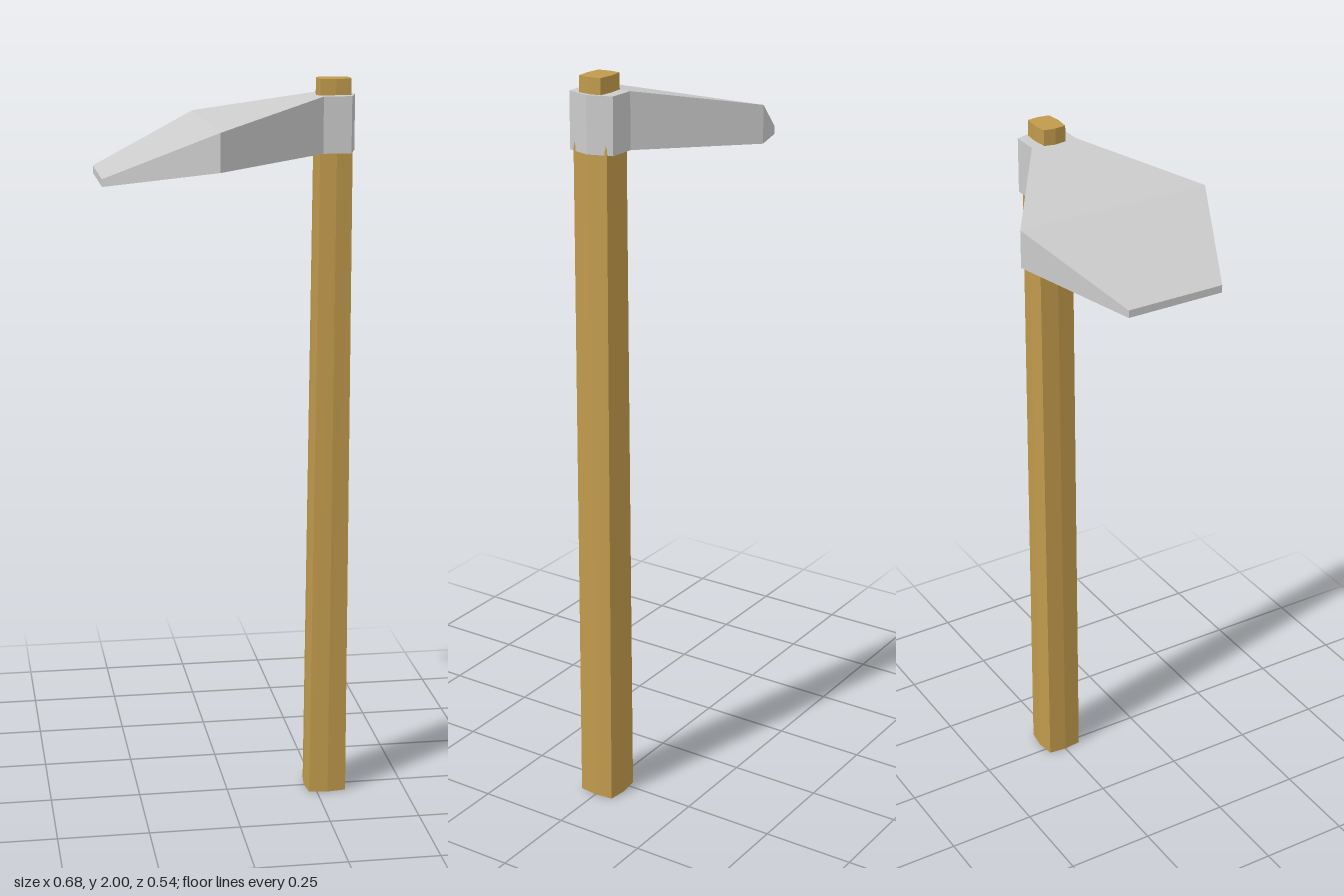
import * as THREE from 'three';

// Skins a closed solid through rings; each ring runs counterclockwise about the loft direction.
function loft(rings) {
  const pos = [];
  const tri = (a, b, c) => {
    const t = new THREE.Triangle(...[a, b, c].map(p => new THREE.Vector3(...p)));
    if (t.getArea() > 1e-7) pos.push(...a, ...b, ...c);
  };
  const n = rings[0].length;
  for (let r = 0; r < rings.length - 1; r++) {
    const a = rings[r], b = rings[r + 1];
    for (let i = 0; i < n; i++) {
      const j = (i + 1) % n;
      tri(a[i], a[j], b[j]);
      tri(a[i], b[j], b[i]);
    }
  }
  const first = rings[0], last = rings[rings.length - 1];
  for (let i = 1; i < n - 1; i++) {
    tri(first[0], first[i + 1], first[i]);
    tri(last[0], last[i], last[i + 1]);
  }
  const g = new THREE.BufferGeometry();
  g.setAttribute('position', new THREE.Float32BufferAttribute(pos, 3));
  g.computeVertexNormals();
  return g;
}

// Eight-sided handle section: a rectangle with slightly bulging sides.
function handleRing(y, cx, hx, hz) {
  const x = hx * 0.9, z = hz * 0.88;
  return [[0, hz], [x, z], [hx, 0], [x, -z], [0, -hz], [-x, -z], [-hx, 0], [-x, z]]
    .map(([px, pz]) => [cx + px, y, pz]);
}

// Four-cornered head section at a given x.
const headRing = ([x, hz, top, bottom]) =>
  [[x, top, hz], [x, bottom, hz], [x, bottom, -hz], [x, top, -hz]];

export function createModel() {
  const group = new THREE.Group();
  const add = (name, geometry, color) => {
    const mesh = new THREE.Mesh(geometry,
      new THREE.MeshStandardMaterial({ color, flatShading: true }));
    mesh.name = name;
    group.add(mesh);
  };

  // Wooden handle, narrowing inside the socket to a stub on top
  add('handle', loft([
    handleRing(0, 0.28, 0.058, 0.057),
    handleRing(1.82, 0.282, 0.048, 0.057),
    handleRing(1.9, 0.282, 0.046, 0.036),
    handleRing(2, 0.282, 0.046, 0.036),
  ]), 0xc19a4c);

  // Drooping blade widening from the socket, with a pointed back edge: x, half width, top, bottom
  add('hoeHead', loft([
    [-0.342, 0.134, 1.765, 1.745],
    [-0.056, 0.268, 1.893, 1.793],
    [0.244, 0.065, 1.958, 1.81],
    [0.319, 0.065, 1.958, 1.81],
    [0.34, 0, 1.958, 1.81],
  ].map(headRing)), 0xcccccc);

  return group;
}
